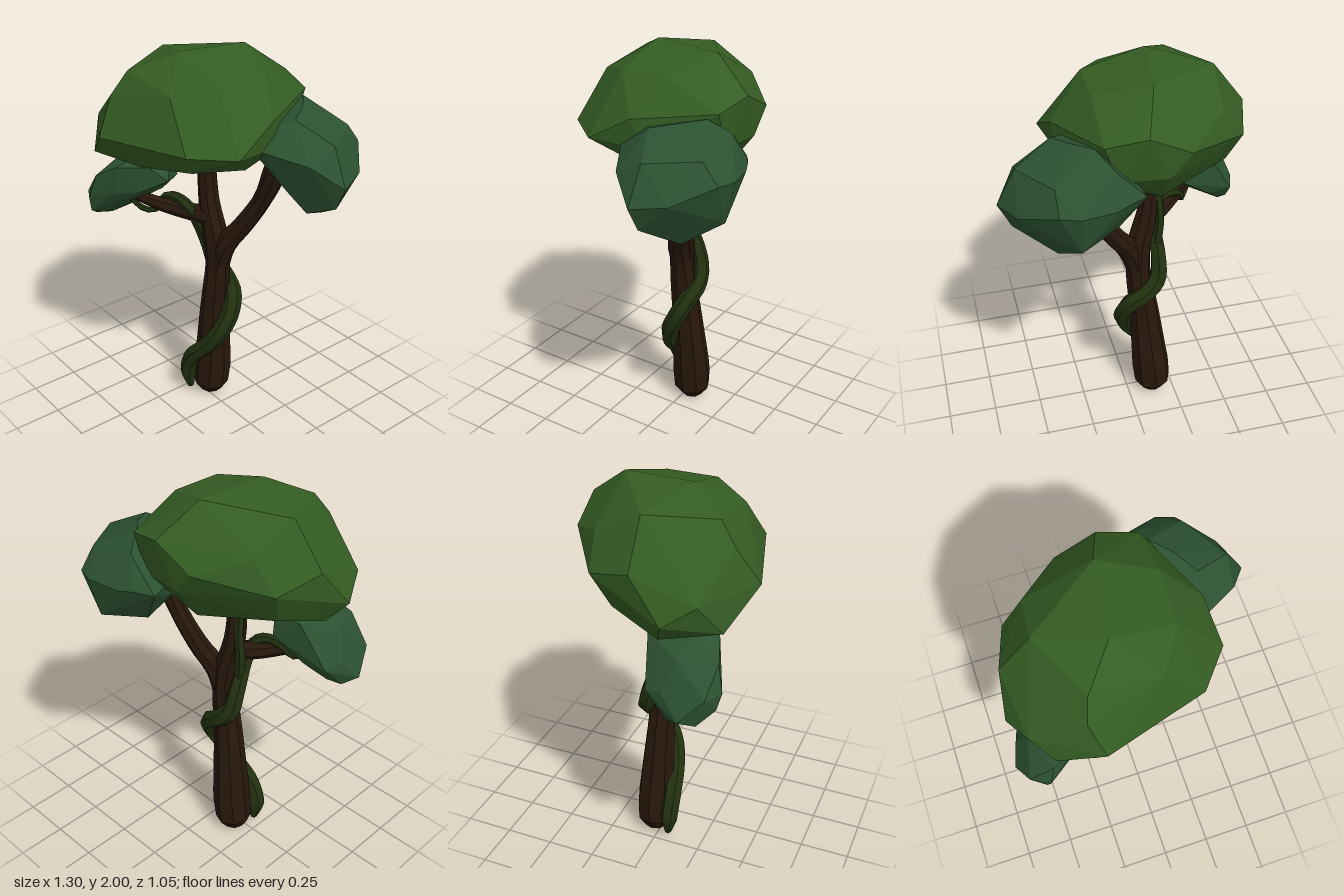
import * as THREE from 'three';
import { ConvexGeometry } from 'three/addons/geometries/ConvexGeometry.js';

const flat = (color) => new THREE.MeshStandardMaterial({ color, flatShading: true });

// Tapered tube through [x, y, z, radius] points, closed at both ends
function limb(name, points, sides, segments, material) {
  const curve = new THREE.CatmullRomCurve3(points.map(([x, y, z]) => new THREE.Vector3(x, y, z)));
  const geometry = new THREE.TubeGeometry(curve, segments, 1, sides, false);
  const pos = geometry.attributes.position;
  const v = new THREE.Vector3();
  for (let i = 0; i <= segments; i++) {
    // the first and last rings collapse to form the end caps
    const u = THREE.MathUtils.clamp((i - 1) / (segments - 2), 0, 1);
    const s = curve.getUtoTmapping(u) * (points.length - 1);
    const k = Math.min(Math.floor(s), points.length - 2);
    const isCap = i === 0 || i === segments;
    const radius = isCap ? 0 : THREE.MathUtils.lerp(points[k][3], points[k + 1][3], s - k);
    const oldCentre = curve.getPointAt(i / segments);
    const centre = curve.getPointAt(u);
    for (let j = 0; j <= sides; j++) {
      const n = i * (sides + 1) + j;
      v.fromBufferAttribute(pos, n).sub(oldCentre).multiplyScalar(radius).add(centre);
      pos.setXYZ(n, v.x, v.y, v.z);
    }
  }
  geometry.computeVertexNormals();
  const mesh = new THREE.Mesh(geometry, material);
  mesh.name = name;
  return mesh;
}

// Faceted clump of leaves spanned over its corner points
function foliage(name, corners, material) {
  const mesh = new THREE.Mesh(new ConvexGeometry(corners.map((c) => new THREE.Vector3(...c))), material);
  mesh.name = name;
  return mesh;
}

export function createModel() {
  const tree = new THREE.Group();
  tree.name = 'tree';
  const bark = flat(0x28180c);
  const vineGreen = flat(0x223110);
  const leafGreen = flat(0x345c23);
  const darkLeafGreen = flat(0x2c5231);

  // Trunk and branches
  tree.add(
    limb('trunk', [
      [-0.145, 0.01, -0.035, 0.055], [-0.14, 0.07, -0.035, 0.098], [-0.125, 0.2, -0.037, 0.102],
      [-0.085, 0.6, -0.025, 0.076], [-0.055, 0.85, -0.02, 0.064], [-0.06, 1.0, -0.015, 0.066],
      [-0.105, 1.2, -0.005, 0.054], [-0.12, 1.4, -0.005, 0.046], [-0.115, 1.56, -0.01, 0.054],
    ], 8, 28, bark),
    limb('rightBranch', [
      [-0.055, 0.82, -0.025, 0.05], [-0.01, 0.98, -0.03, 0.06], [0.075, 1.11, -0.075, 0.052],
      [0.185, 1.29, -0.11, 0.046], [0.25, 1.44, -0.12, 0.058], [0.285, 1.54, -0.13, 0.06],
    ], 8, 16, bark),
    limb('sideBranch', [
      [-0.09, 1.13, 0, 0.055], [-0.18, 1.135, 0.06, 0.046], [-0.29, 1.16, 0.15, 0.038],
      [-0.41, 1.2, 0.24, 0.026],
    ], 7, 10, bark),
  );

  // Vine winding up the trunk and along the side branch
  tree.add(
    limb('vine', [
      [-0.2, 0.03, 0.06, 0.018], [-0.21, 0.13, 0.07, 0.046], [-0.16, 0.26, 0.07, 0.048],
      [-0.06, 0.37, 0.05, 0.048], [0.01, 0.48, 0.015, 0.048], [0.028, 0.58, -0.035, 0.048],
      [-0.005, 0.68, -0.08, 0.048], [-0.08, 0.74, -0.095, 0.048], [-0.145, 0.81, -0.075, 0.048],
      [-0.158, 0.93, -0.04, 0.043], [-0.15, 1.07, 0.025, 0.036], [-0.16, 1.165, 0.075, 0.03],
      [-0.22, 1.205, 0.1, 0.027], [-0.3, 1.195, 0.12, 0.023], [-0.335, 1.12, 0.17, 0.019],
      [-0.37, 1.13, 0.22, 0.017], [-0.41, 1.18, 0.26, 0.012],
    ], 6, 54, vineGreen),
    limb('upperVine', [
      [-0.155, 1.0, -0.02, 0.028], [-0.165, 1.16, -0.03, 0.025],
      [-0.155, 1.28, -0.03, 0.022], [-0.158, 1.4, -0.02, 0.02], [-0.145, 1.5, -0.02, 0.016],
    ], 5, 14, vineGreen),
  );

  // Main crown
  tree.add(foliage('mainCrown', [
    [-0.12, 2.0, 0.16], [-0.07, 1.99, -0.2], [-0.42, 1.94, 0.03], [0.18, 1.92, 0.16],
    [0.19, 1.92, -0.1], [-0.27, 1.91, 0.34], [0.06, 1.87, 0.34], [-0.3, 1.8, 0.42],
    [0, 1.84, -0.4], [-0.2, 1.74, -0.39], [-0.51, 1.67, -0.18], [-0.4, 1.82, -0.2],
    [-0.58, 1.73, 0.04], [-0.62, 1.53, 0.2], [-0.55, 1.62, 0.34], [-0.46, 1.47, 0.43],
    [-0.25, 1.63, 0.525], [0.14, 1.64, 0.41], [0.24, 1.65, 0.39], [0.39, 1.64, 0.21],
    [0.36, 1.76, 0], [0.19, 1.8, -0.36], [0.33, 1.62, -0.08], [-0.53, 1.42, 0.15],
    [-0.35, 1.43, 0.33], [-0.1, 1.5, 0.4], [0.05, 1.46, 0.12], [0.2, 1.55, 0.33],
    [0.25, 1.51, 0.06], [-0.46, 1.5, -0.1], [-0.1, 1.44, -0.25], [0.1, 1.49, -0.2],
    [0.12, 1.62, -0.36], [-0.1, 1.62, -0.385],
  ], leafGreen));

  // Rear crown on the model's left
  tree.add(foliage('rearCrown', [
    [0.35, 1.63, 0.055], [0.25, 1.7, -0.01], [0.38, 1.75, -0.12], [0.315, 1.77, -0.225],
    [0.22, 1.78, -0.32], [0.16, 1.72, -0.41], [0.42, 1.67, -0.42], [0.56, 1.66, -0.2],
    [0.33, 1.57, -0.53], [0.42, 1.57, -0.5], [0.17, 1.56, -0.495], [0.09, 1.57, -0.46],
    [0.01, 1.56, -0.41], [0.58, 1.5, -0.35], [0.65, 1.48, -0.19], [0.55, 1.59, -0.06],
    [0.59, 1.36, -0.2], [0.4, 1.24, -0.3], [0.32, 1.36, -0.48], [0.13, 1.37, -0.35],
    [0.27, 1.3, -0.29], [0.45, 1.3, -0.15], [0.24, 1.42, -0.13], [0.07, 1.48, -0.25],
    [0.05, 1.6, -0.2], [0.41, 1.41, -0.07], [0.28, 1.57, 0.01],
  ], darkLeafGreen));

  // Small drooping clump at the end of the side branch
  tree.add(foliage('sideClump', [
    [-0.65, 1.09, 0.29], [-0.6, 1.06, 0.36], [-0.6, 1.06, 0.22], [-0.54, 1.07, 0.3],
    [-0.54, 1.08, 0.18], [-0.61, 1.2, 0.2], [-0.6, 1.2, 0.4], [-0.51, 1.2, 0.45],
    [-0.53, 1.12, 0.43], [-0.55, 1.35, 0.25], [-0.48, 1.33, 0.42], [-0.44, 1.43, 0.28],
    [-0.33, 1.44, 0.16], [-0.33, 1.44, 0.3], [-0.36, 1.4, 0.38], [-0.26, 1.41, 0.12],
    [-0.26, 1.4, 0.25], [-0.21, 1.32, 0.17], [-0.3, 1.26, 0.28], [-0.33, 1.23, 0.12],
    [-0.3, 1.39, 0.06], [-0.31, 1.29, 0.04], [-0.45, 1.4, 0.07], [-0.58, 1.18, 0.11],
    [-0.46, 1.17, 0.1], [-0.38, 1.25, 0.37],
  ], darkLeafGreen));

  return tree;
}
